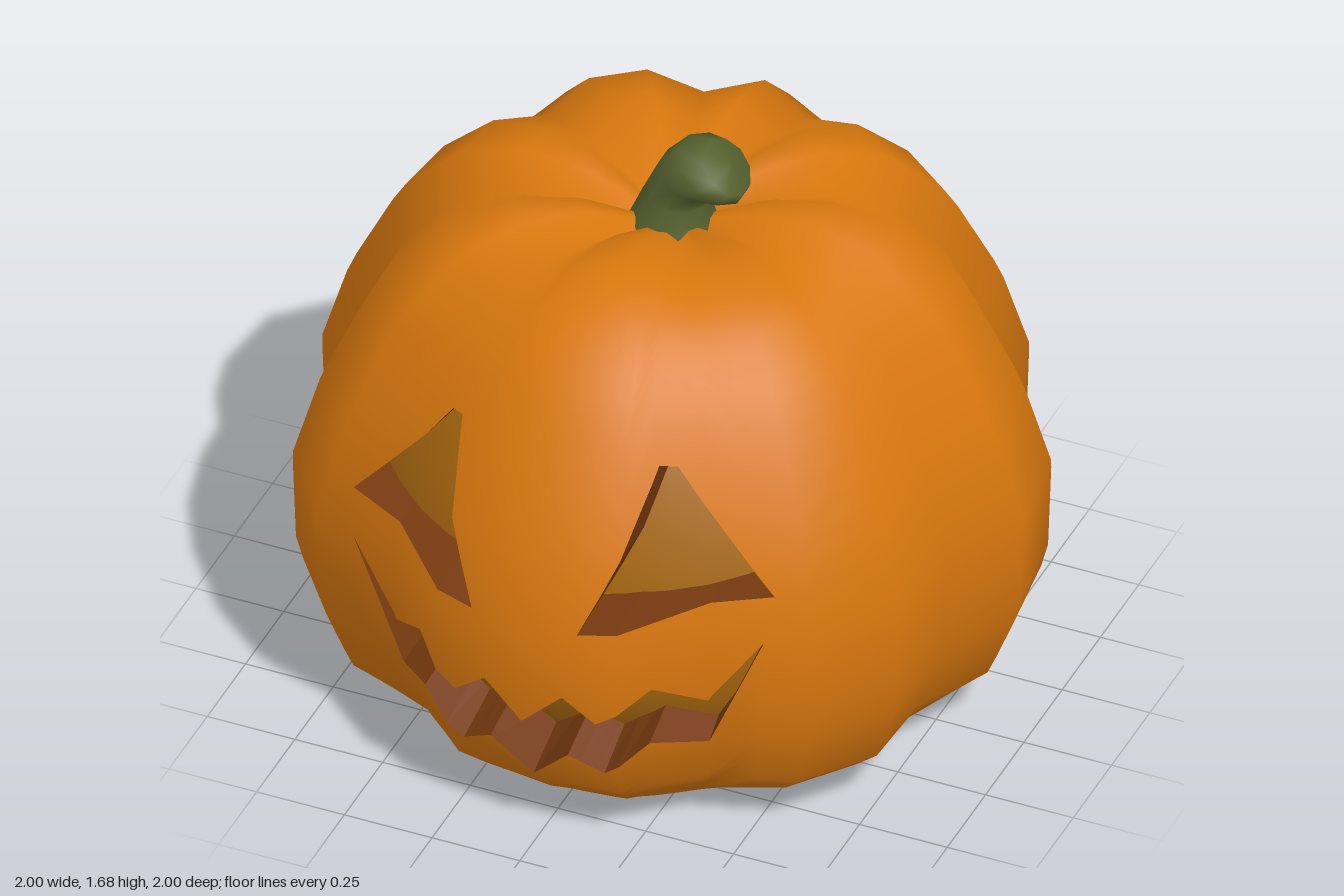
import * as THREE from 'three';

const material = (name, color, side = THREE.FrontSide) => {
  const m = new THREE.MeshStandardMaterial({ color, side });
  m.name = name;
  return m;
};

// Body profile rings: radius, height, valley depth (fraction), valley drop
const RINGS = [
  [0.57, 0, 0, 0], [0.79, 0.1, 0.06, 0], [0.9, 0.2, 0.09, 0], [0.99, 0.43, 0.09, 0],
  [1, 0.73, 0.09, 0], [0.92, 0.99, 0.09, 0], [0.775, 1.28, 0.09, 0.01], [0.6, 1.45, 0.09, 0.03],
  [0.42, 1.51, 0.08, 0.06], [0.25, 1.5, 0.05, 0.06], [0.1, 1.44, 0, 0.02], [0.001, 1.42, 0, 0],
];
const TOP = RINGS.length - 1, COLS = 24;
const lerp = THREE.MathUtils.lerp;

function makeGeometry(positions, index, normals) {
  const g = new THREE.BufferGeometry();
  g.setAttribute('position', new THREE.Float32BufferAttribute(positions, 3));
  if (normals) g.setAttribute('normal', new THREE.Float32BufferAttribute(normals, 3));
  if (index) g.setIndex(index);
  if (!normals) g.computeVertexNormals();
  return g;
}

// Coarse ribbed cage; column 0 is the front, every third column a valley
function makeCage() {
  const pos = [], index = [];
  for (const [r, y, depth, drop] of RINGS) {
    for (let c = 0; c < COLS; c++) {
      const fromFront = Math.min(c, COLS - c), a = (c / COLS) * Math.PI * 2;
      const v = fromFront % 3 === 2 ? 1 : 0, rr = r * (1 - depth * v);
      pos.push(Math.sin(a) * rr, y - drop * v, Math.cos(a) * rr);
    }
  }
  for (let s = 0; s < TOP; s++) {
    for (let c = 0; c < COLS; c++) {
      const a = s * COLS + c, b = s * COLS + ((c + 1) % COLS);
      index.push(a, b, b + COLS, a, b + COLS, a + COLS);
    }
  }
  return makeGeometry(pos, index);
}

// Bilinear sample of a cage attribute at column c and ring s
function sample(attribute, c, s) {
  const s0 = Math.min(Math.floor(s), TOP - 1), c0 = Math.floor(c);
  const at = (ci, si) => new THREE.Vector3().fromBufferAttribute(attribute, si * COLS + ((ci + 2 * COLS) % COLS));
  const low = at(c0, s0).lerp(at(c0 + 1, s0), c - c0);
  const high = at(c0, s0 + 1).lerp(at(c0 + 1, s0 + 1), c - c0);
  return low.lerp(high, s - s0);
}

function ringAt(y) {
  let i = 0;
  while (i < 7 && RINGS[i + 1][1] < y) i++;
  return i + (y - RINGS[i][1]) / (RINGS[i + 1][1] - RINGS[i][1]);
}

function evalCurve(points, c) {
  const a = Math.abs(c);
  if (a <= points[0][0]) return points[0][1];
  for (let i = 1; i < points.length; i++) {
    const [c0, y0] = points[i - 1], [c1, y1] = points[i];
    if (a <= c1) return lerp(y0, y1, (a - c0) / (c1 - c0));
  }
  return points[points.length - 1][1];
}

function createStem(mat) {
  // Rings: x, y, radius, lean
  const rings = [[0, 1.4, 0.125, 0], [0.01, 1.5, 0.088, 0.1], [0.05, 1.57, 0.09, 0.45],
    [0.115, 1.605, 0.11, 0.65], [0.155, 1.622, 0.082, 0.8], [0.165, 1.632, 0.001, 0.8]];
  const n = 10, pos = [], index = [];
  rings.forEach(([x, y, r, lean], j) => {
    for (let i = 0; i < n; i++) {
      const a = (i / n) * Math.PI * 2, u = Math.sin(a) * r;
      pos.push(x + u * Math.cos(lean), y - u * Math.sin(lean), Math.cos(a) * r * 1.06);
      if (j === rings.length - 1) continue;
      const p = j * n + i, q = j * n + ((i + 1) % n);
      index.push(p, q, q + n, p, q + n, p + n);
    }
  });
  const mesh = new THREE.Mesh(makeGeometry(pos, index), mat);
  mesh.name = 'stem';
  return mesh;
}

export function createModel() {
  const group = new THREE.Group();
  group.name = 'carvedPumpkin';
  const skin = material('orange skin', 0xd8770e);
  const inside = material('orange inside', 0xd8770e, THREE.DoubleSide);
  const cut = material('brown cut flesh', 0x75390f, THREE.DoubleSide);
  const glow = material('amber core', 0xa5660f);
  const green = material('green stem', 0x56622f);
  const add = (name, geometry, mat) => {
    const mesh = new THREE.Mesh(geometry, mat);
    mesh.name = name;
    group.add(mesh);
    return mesh;
  };

  const cage = makeCage();
  const P = (c, s) => sample(cage.attributes.position, c, s);
  const N = (c, s) => sample(cage.attributes.normal, c, s).normalize();

  // Turn a front outline (x, y) into (column, y)
  const toCurve = (points) => points.map(([x, y]) => {
    let lo = 0, hi = 4;
    for (let i = 0; i < 30; i++) {
      const mid = (lo + hi) / 2;
      if (P(mid, ringAt(y)).x < x) lo = mid; else hi = mid;
    }
    return [lo, y];
  });

  // Half outlines of the openings, mirrored across x = 0
  const mouth = {
    name: 'mouthCut', cx: 0, cy: 0.62, kx: 0.94, ky: 0.76,
    low: toCurve([[0, 0.225], [0.11, 0.335], [0.2, 0.28], [0.32, 0.4], [0.435, 0.355], [0.585, 0.71]]),
    up: toCurve([[0, 0.45], [0.11, 0.55], [0.2, 0.48], [0.33, 0.585], [0.445, 0.51], [0.585, 0.71]]),
  };
  const eyes = {
    name: 'eyeCuts', cx: 0.2, cy: 0.97, kx: 0.86, ky: 0.84,
    low: toCurve([[0.15, 0.76], [0.6, 0.84]]),
    up: toCurve([[0.15, 0.76], [0.28, 1.19], [0.32, 1.18], [0.6, 0.84]]),
  };

  // Columns include every corner of the openings
  const half = new Set([...Array(13).keys()]);
  for (const h of [mouth, eyes]) for (const [c] of [...h.low, ...h.up]) half.add(Math.round(c * 1e6) / 1e6);
  const columns = [...new Set([...half].flatMap((c) => (c < 1e-5 ? [0] : [c, -c])))].sort((a, b) => a - b);

  // Skin: three bands below, between and above the openings
  const bands = [
    [() => 0, (c) => ringAt(evalCurve(mouth.low, c)), 14],
    [(c) => ringAt(evalCurve(mouth.up, c)), (c) => ringAt(evalCurve(eyes.low, c)), 6],
    [(c) => ringAt(evalCurve(eyes.up, c)), () => TOP, 28],
  ];
  const pos = [], nor = [], index = [];
  for (const [from, to, rows] of bands) {
    const start = pos.length / 3, stride = rows + 1;
    columns.forEach((c, i) => {
      for (let j = 0; j <= rows; j++) {
        const s = lerp(from(c), to(c), j / rows);
        pos.push(...P(c, s).toArray());
        nor.push(...N(c, s).toArray());
        if (i === columns.length - 1 || j === rows) continue;
        const a = start + i * stride + j, b = a + stride;
        index.push(a, b, b + 1, a, b + 1, a + 1);
      }
    });
  }
  add('pumpkinSkin', makeGeometry(pos, index, nor), skin);

  // Tapered walls of the carved openings
  for (const h of [mouth, eyes]) {
    const tri = [];
    const edge = (curve, c) => {
      const outer = P(c, ringAt(evalCurve(curve, c)));
      const cx = h.cx * Math.sign(c);
      const inner = new THREE.Vector3(lerp(cx, outer.x, h.kx), lerp(h.cy, outer.y, h.ky), outer.z - 0.22);
      return [outer.toArray(), inner.toArray()];
    };
    const gap = (c) => evalCurve(h.up, c) - evalCurve(h.low, c);
    for (let i = 0; i < columns.length - 1; i++) {
      const c0 = columns[i], c1 = columns[i + 1];
      if (gap(c0) < 1e-4 && gap(c1) < 1e-4) continue;
      for (const curve of [h.low, h.up]) {
        const [a, a2] = edge(curve, c0), [b, b2] = edge(curve, c1);
        const quad = curve === h.low ? [a, b, b2, a, b2, a2] : [a, b2, b, a, a2, b2];
        tri.push(...quad.flat());
      }
    }
    add(h.name, makeGeometry(tri), cut);
  }

  // Amber core seen through the openings
  const coreProfile = RINGS.slice(0, 10).map(([r, y]) => new THREE.Vector2(r * 0.84, 0.75 + (y - 0.75) * 0.86));
  coreProfile[0].x = 0.52;
  add('innerCore', new THREE.LatheGeometry(coreProfile, 48), glow);

  // Open base: rim, hollow wall and its ceiling
  add('baseRim', new THREE.RingGeometry(0.505, 0.57, 48).rotateX(Math.PI / 2), skin);
  add('hollowWall', new THREE.CylinderGeometry(0.48, 0.505, 0.43, 48, 1, true).translate(0, 0.215, 0), inside);
  add('hollowCeiling', new THREE.CircleGeometry(0.48, 48).rotateX(Math.PI / 2).translate(0, 0.43, 0), inside);

  group.add(createStem(green));
  return group;
}
